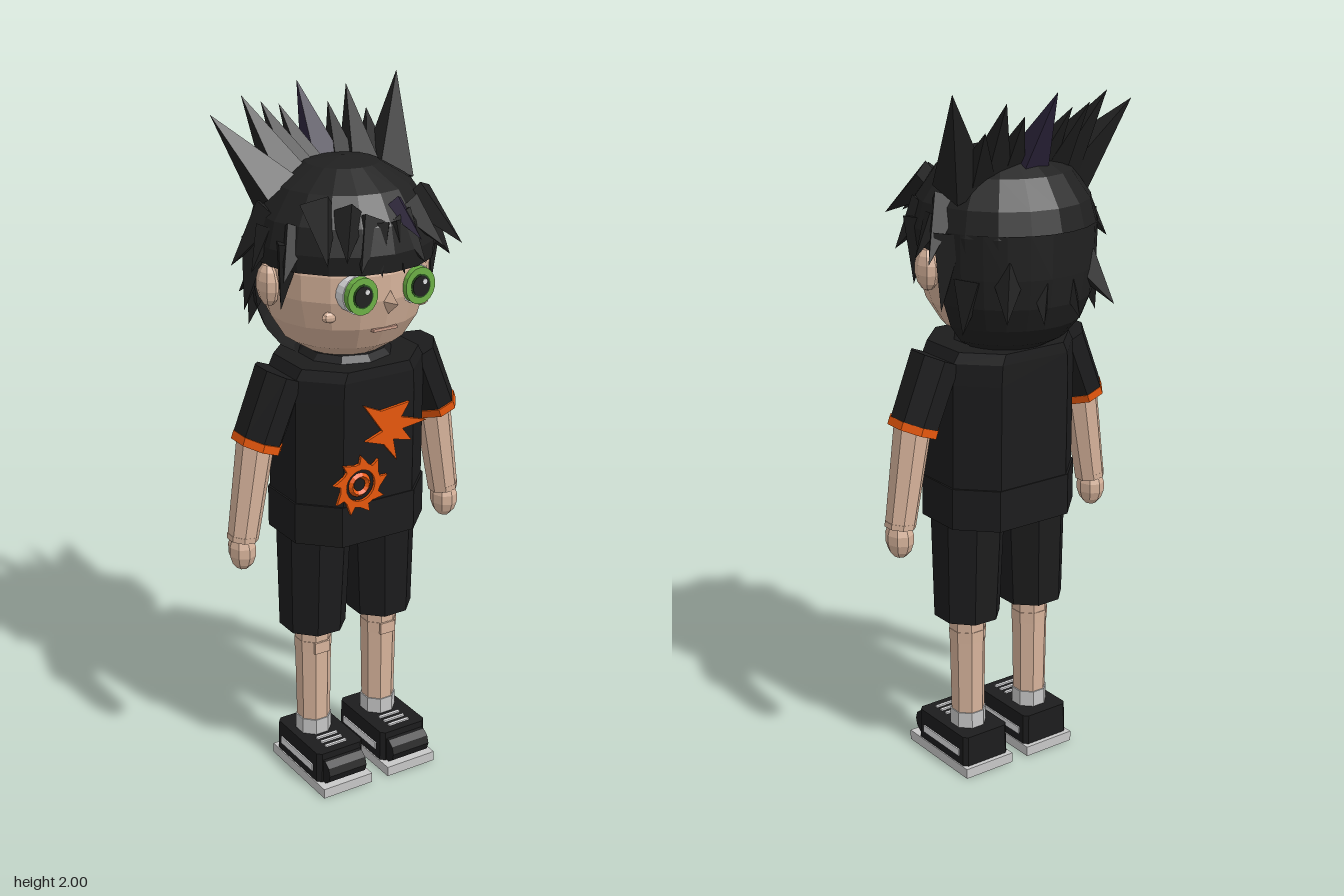
import * as THREE from 'three';

const mat = (name, color, side = THREE.FrontSide) =>
  Object.assign(new THREE.MeshStandardMaterial({ color, flatShading: true, side }), { name });

export function createModel() {
  const model = new THREE.Group();
  const hair = mat('hair black', 0x202020, THREE.DoubleSide);
  const cloth = mat('cloth black', 0x1c1c1d, THREE.DoubleSide);
  const skin = mat('skin', 0xd8b49c);
  const orange = mat('orange', 0xee5a0c);
  const green = mat('eye green', 0x6cb045);
  const darkGreen = mat('dark green', 0x2c5a20);
  const white = mat('white', 0xdedee0);
  const purple = mat('dark purple', 0x2d253c);
  const grey = mat('sole grey', 0xc8c8c8);
  const lip = mat('lip', 0xc79a88);

  const add = (name, geo, material, x = 0, y = 0, z = 0, parent = model) => {
    const m = new THREE.Mesh(geo, material);
    m.name = name;
    m.position.set(x, y, z);
    parent.add(m);
    return m;
  };
  const box = (w, h, d) => new THREE.BoxGeometry(w, h, d);
  const lathe = (pts, seg, start = 0, len = Math.PI * 2) =>
    new THREE.LatheGeometry(pts.map(p => new THREE.Vector2(...p)), seg, start, len);

  // Tapered tube from a to b, with its depth stretched along z
  const limb = (name, material, a, b, ra, rb, sides = 8, depth = 1, open = false) => {
    const from = new THREE.Vector3(...a), to = new THREE.Vector3(...b);
    const dir = to.clone().sub(from);
    const geo = new THREE.CylinderGeometry(rb, ra, dir.length(), sides, 1, open);
    geo.rotateY(Math.PI / sides).scale(1, 1, depth);
    const m = add(name, geo, material);
    m.position.copy(from).add(to).multiplyScalar(0.5);
    m.quaternion.setFromUnitVectors(new THREE.Vector3(0, 1, 0), dir.normalize());
    return m;
  };
  const spike = (name, material, [bx, by, bz, tx, ty, tz, r]) =>
    limb(name, material, [bx, by, bz], [tx, ty, tz], r, 0, 4);

  // Stack of chamfered rectangles: [y, half width, half depth, chamfer]
  const loft = rows => {
    const pos = [], idx = [];
    for (const [y, w, d, c] of rows) {
      for (const [x, z] of [[w, d - c], [w - c, d], [c - w, d], [-w, d - c],
        [-w, c - d], [c - w, -d], [w - c, -d], [w, c - d]]) pos.push(x, y, z);
    }
    for (let r = 0; r < rows.length - 1; r++) {
      for (let i = 0; i < 8; i++) {
        const a = r * 8 + i, b = r * 8 + (i + 1) % 8;
        idx.push(a, a + 8, b, b, a + 8, b + 8);
      }
    }
    const t = (rows.length - 1) * 8;
    for (let i = 1; i < 7; i++) idx.push(0, i, i + 1, t, t + i + 1, t + i);
    const g = new THREE.BufferGeometry();
    g.setAttribute('position', new THREE.Float32BufferAttribute(pos, 3));
    g.setIndex(idx);
    g.computeVertexNormals();
    return g;
  };

  // Shirt
  add('shirt', loft([[0.9, 0.208, 0.166, 0.095], [1.2, 0.208, 0.169, 0.095],
    [1.26, 0.205, 0.169, 0.095], [1.29, 0.188, 0.167, 0.09]]), cloth, 0, 0, 0.016);
  add('shirtHem', loft([[0.78, 0.213, 0.169, 0.095], [0.9, 0.213, 0.169, 0.095]]), cloth, 0, 0, 0.016);
  add('collar', new THREE.CylinderGeometry(0.115, 0.14, 0.025, 10), cloth, 0, 1.295, 0.01);
  add('neck', new THREE.CylinderGeometry(0.08, 0.08, 0.1, 10), skin, 0, 1.28, 0);

  // Abstract orange shirt decorations
  const plate = shape => new THREE.ExtrudeGeometry(shape, { depth: 0.009, bevelEnabled: false });
  const outline = pts => new THREE.Shape(pts.map(p => new THREE.Vector2(...p)));
  add('sparkPatch', plate(outline([[-0.055, 1.19], [0, 1.165], [0.092, 1.175], [0.065, 1.135],
    [0.148, 1.11], [0.07, 1.1], [0.1, 1.06], [0.04, 1.075], [0.052, 1.012], [0.01, 1.065],
    [-0.05, 1.085], [0.005, 1.105]])), orange, 0, 0, 0.187);
  const teeth = [];
  for (let i = 0; i < 27; i++) {
    const a = (i + (i % 3 ? 0 : 0.7)) * Math.PI / 13.5, r = i % 3 ? 0.064 : 0.088;
    teeth.push([Math.cos(a) * r, Math.sin(a) * r]);
  }
  const sun = outline(teeth);
  sun.holes.push(new THREE.Path().absarc(0, 0, 0.046, 0, Math.PI * 2, true));
  add('sunPatch', plate(sun), orange, -0.065, 0.96, 0.187);
  add('sunPatchRing', new THREE.TorusGeometry(0.027, 0.009, 4, 14), orange, -0.065, 0.96, 0.188);

  // Head and face
  add('head', lathe([[0, 1.29], [0.1, 1.3], [0.17, 1.345], [0.21, 1.41], [0.233, 1.49],
    [0.235, 1.56], [0.21, 1.66], [0.12, 1.74], [0, 1.77]], 18), skin);
  const nose = add('nose', new THREE.OctahedronGeometry(1), skin, 0, 1.488, 0.225);
  nose.scale.set(0.02, 0.037, 0.047);
  add('mouth', box(0.075, 0.008, 0.02), lip, 0, 1.405, 0.203);

  // Shorts, limbs and face parts on both sides
  for (const s of [1, -1]) {
    const disc = (name, m, r, front, dx = 0, dy = 0, depth = 0.01) => {
      const g = new THREE.CylinderGeometry(r, r, depth, 18).rotateX(Math.PI / 2).scale(0.95, 1.03, 1);
      add(name, g, m, s * 0.09 + dx, 1.517 + dy, front - depth / 2);
    };
    disc('eyeWhite', white, 0.052, 0.222, 0, 0, 0.045);
    disc('iris', green, 0.049, 0.242, 0, 0, 0.02);
    disc('irisRing', darkGreen, 0.032, 0.244);
    disc('pupil', hair, 0.028, 0.246);
    disc('eyeGlint', white, 0.007, 0.248, 0.01, 0.012);
    add('cheek', new THREE.SphereGeometry(0.02, 8, 6).scale(1.2, 0.8, 0.6), skin, s * 0.145, 1.45, 0.166);
    add('ear', new THREE.SphereGeometry(1, 8, 7).scale(0.03, 0.06, 0.042), skin, s * 0.24, 1.515, 0.01);

    limb('sleeve', cloth, [s * 0.213, 1.264, 0.016], [s * 0.286, 1.085, 0.016], 0.067, 0.065, 8, 1.28);
    limb('sleeveBand', orange, [s * 0.284, 1.09, 0.018], [s * 0.292, 1.068, 0.018], 0.067, 0.067, 8, 1.3);
    limb('arm', skin, [s * 0.288, 1.1, 0.016], [s * 0.337, 0.8, 0.016], 0.054, 0.044);
    limb('wrist', skin, [s * 0.336, 0.812, 0.016], [s * 0.338, 0.796, 0.016], 0.045, 0.044);
    add('hand', new THREE.SphereGeometry(1, 8, 7).scale(0.039, 0.06, 0.045), skin, s * 0.341, 0.765, 0.016);

    limb('shortsLeg', cloth, [s * 0.114, 0.475, 0.015], [s * 0.108, 0.82, 0.016], 0.096, 0.108, 8, 1.03, true);
    limb('shortsLining', cloth, [s * 0.113, 0.5, 0.015], [s * 0.113, 0.505, 0.015], 0.09, 0.09, 8);
    limb('leg', skin, [s * 0.113, 0.15, 0.015], [s * 0.113, 0.46, 0.015], 0.049, 0.054);
    limb('kneeBand', skin, [s * 0.113, 0.395, 0.015], [s * 0.113, 0.43, 0.015], 0.054, 0.055);
    add('kneeCap', box(0.05, 0.035, 0.02), skin, s * 0.113, 0.412, 0.06);
    limb('sock', grey, [s * 0.113, 0.1, 0.015], [s * 0.113, 0.17, 0.015], 0.053, 0.053);

    // Shoes
    const x = s * 0.11;
    add('sole', box(0.165, 0.03, 0.295), grey, x, 0.015, 0.058);
    add('shoe', loft([[0.03, 0.079, 0.122, 0.012], [0.122, 0.077, 0.12, 0.012]]), cloth, x, 0, 0.046);
    add('shoeToe', new THREE.CylinderGeometry(0.038, 0.038, 0.125, 10).rotateZ(Math.PI / 2), cloth, x, 0.066, 0.167);
    for (const e of [1, -1]) add('shoeStripe', box(0.006, 0.022, 0.18), white, x + e * 0.079, 0.066, 0.045);
    for (const z of [0.085, 0.11, 0.135]) add('lace', box(0.07, 0.006, 0.009), white, x, 0.124, z);
  }

  // Hair: cap over the crown and a shell around the back of the head
  const cap = lathe([[0.25, 1.57], [0.255, 1.62], [0.237, 1.69], [0.185, 1.765],
    [0.1, 1.815], [0, 1.83]], 18).scale(1, 1, 1.02);
  add('hairCap', cap, hair, 0, 0, -0.006);
  const back = lathe([[0, 1.28], [0.12, 1.283], [0.175, 1.315], [0.215, 1.365], [0.24, 1.43],
    [0.25, 1.51], [0.253, 1.63]], 11, Math.PI / 2 + 0.22, Math.PI - 0.44).scale(1, 1, 1.045);
  add('hairBack', back, hair, 0, 0, -0.004);

  // Crown spikes, leaning backwards: base, tip, radius
  for (const p of [
    [-0.175, 1.74, -0.06, -0.305, 1.94, -0.17, 0.075], [0.175, 1.74, -0.06, 0.28, 2.0, -0.17, 0.078],
    [-0.13, 1.76, -0.07, -0.195, 1.975, -0.2, 0.066], [0.1, 1.77, -0.08, 0.14, 1.97, -0.21, 0.06],
    [-0.09, 1.77, -0.08, -0.13, 1.95, -0.21, 0.058], [0.14, 1.75, -0.07, 0.2, 1.9, -0.2, 0.06],
    [-0.05, 1.78, -0.09, -0.08, 1.94, -0.2, 0.05], [0.05, 1.78, -0.09, 0.075, 1.93, -0.2, 0.05],
  ]) spike('crownSpike', hair, p);
  spike('purpleSpike', purple, [0, 1.785, -0.11, 0, 1.99, -0.24, 0.06]);
  spike('purpleLock', purple, [0.035, 1.735, 0.185, 0.075, 1.65, 0.265, 0.036]);

  // Fringe, side and back locks, mirrored
  for (const [bx, by, bz, tx, ty, tz, r] of [
    [0.2, 1.7, -0.03, 0.3, 1.55, -0.085, 0.055], [0.22, 1.62, -0.065, 0.262, 1.42, -0.085, 0.055],
    [0.215, 1.64, 0.08, 0.24, 1.46, 0.075, 0.045], [0.19, 1.67, 0.08, 0.262, 1.55, 0.13, 0.05],
    [0.225, 1.66, -0.01, 0.285, 1.55, 0.0, 0.035], [0.15, 1.73, 0.12, 0.208, 1.62, 0.26, 0.055],
    [0.09, 1.72, 0.17, 0.15, 1.62, 0.26, 0.05], [0.04, 1.7, 0.19, 0.1, 1.58, 0.25, 0.05],
    [0.02, 1.69, 0.2, 0.035, 1.56, 0.248, 0.045], [0.12, 1.53, -0.19, 0.18, 1.41, -0.265, 0.05],
    [0.04, 1.51, -0.22, 0.06, 1.39, -0.268, 0.04], [0.19, 1.5, -0.12, 0.225, 1.36, -0.13, 0.05],
  ]) for (const s of [1, -1]) spike('hairLock', hair, [s * bx, by, bz, s * tx, ty, tz, r]);

  return model;
}
